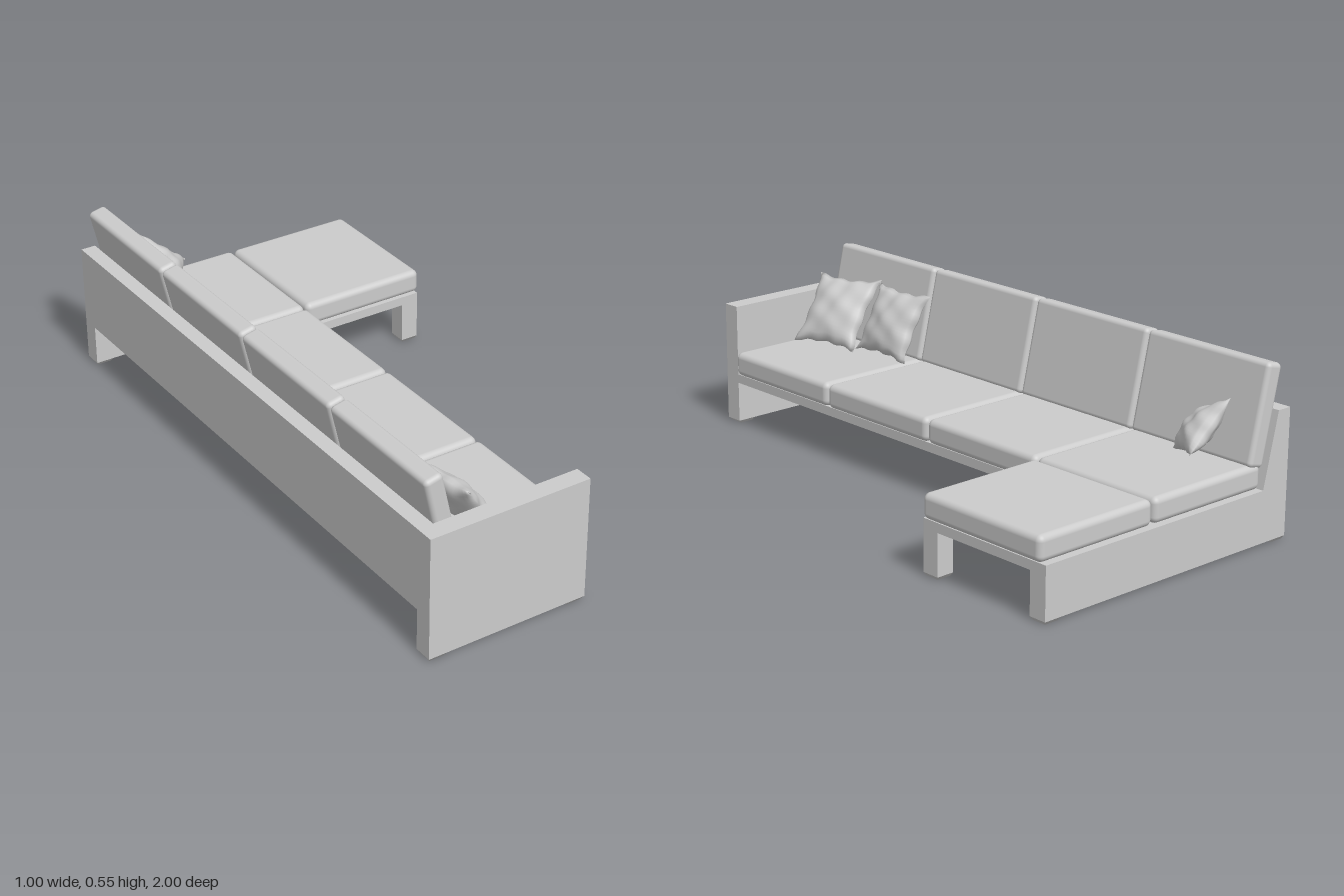
import * as THREE from 'three';
import { RoundedBoxGeometry } from 'three/addons/geometries/RoundedBoxGeometry.js';
import { mergeVertices } from 'three/addons/utils/BufferGeometryUtils.js';

const grey = new THREE.MeshStandardMaterial({ color: 0xcccccc });

export function createModel() {
  const group = new THREE.Group();

  const add = (name, geometry) => {
    const mesh = new THREE.Mesh(geometry, grey);
    mesh.name = name;
    group.add(mesh);
    return mesh;
  };

  // Box given by its limits on each axis
  const box = (name, x0, x1, y0, y1, z0, z1) =>
    add(name, new THREE.BoxGeometry(x1 - x0, y1 - y0, z1 - z0))
      .position.set((x0 + x1) / 2, (y0 + y1) / 2, (z0 + z1) / 2);

  // Side profile in x, y extruded from z0 to z1
  const slab = (name, points, z0, z1) => {
    const shape = new THREE.Shape(points.map(([x, y]) => new THREE.Vector2(x, y)));
    add(name, new THREE.ExtrudeGeometry(shape, { depth: z1 - z0, bevelEnabled: false }))
      .position.z = z0;
  };

  // Frame: arm, stepped end panel, sloped back and L-shaped platform
  box('armPanel', -0.5, 0.04, 0.01, 0.41, 0.94, 1);
  slab('endPanel', [[-0.5, 0.01], [0.49, 0.01], [0.49, 0.175], [-0.395, 0.175],
    [-0.45, 0.41], [-0.5, 0.41]], -1, -0.94);
  slab('backPanel', [[-0.5, 0.145], [-0.395, 0.145], [-0.395, 0.175],
    [-0.45, 0.41], [-0.5, 0.41]], -0.94, 0.94);
  box('seatPlatform', -0.395, 0.04, 0.145, 0.175, -0.94, 0.94);
  box('chaisePlatform', 0.04, 0.49, 0.145, 0.175, -0.94, -0.505);
  box('chaiseLeg', 0.43, 0.49, 0.01, 0.145, -0.565, -0.505);

  // Low tapered feet
  const feet = [[-0.47, 0.97], [0.005, 0.97], [-0.47, -0.97], [0.46, -0.97], [0.46, -0.535]];
  for (const [x, z] of feet) {
    const foot = new THREE.CylinderGeometry(0.03 * Math.SQRT2, 0.024 * Math.SQRT2, 0.01, 4);
    foot.rotateY(Math.PI / 4);
    add('foot', foot.toNonIndexed()).position.set(x, 0.005, z);
  }

  // Seat and back cushions, four along the sofa
  for (let i = 0; i < 4; i++) {
    const z = 0.698 - i * 0.482;
    add('seatCushion', new RoundedBoxGeometry(0.45, 0.08, 0.478, 4, 0.02))
      .position.set(-0.173, 0.215, z);
    const back = add('backCushion', new RoundedBoxGeometry(0.062, 0.315, 0.478, 4, 0.015));
    back.position.set(-0.411, 0.397, z);
    back.rotation.z = 0.225;
  }
  add('chaiseCushion', new RoundedBoxGeometry(0.442, 0.08, 0.478, 4, 0.02))
    .position.set(0.279, 0.215, -0.748);

  // Throw pillows, corners in order: top left, top right, bottom right, bottom left
  const pillows = [
    [[-0.33, 0.465, 0.945], [-0.385, 0.475, 0.69], [-0.235, 0.26, 0.665], [-0.18, 0.26, 0.91]],
    [[-0.38, 0.47, 0.69], [-0.375, 0.475, 0.435], [-0.262, 0.26, 0.44], [-0.265, 0.262, 0.685]],
    [[-0.38, 0.37, -0.77], [-0.33, 0.455, -0.92], [-0.16, 0.315, -0.92], [-0.29, 0.262, -0.735]],
  ];
  pillows.forEach((corners, i) => add('throwPillow', pillowGeometry(corners, 0.042, i * 2.1)));

  return group;
}

// Pinched, creased pillow stretched between four corners
function pillowGeometry(corners, puff, seed) {
  const [tl, tr, br, bl] = corners.map((c) => new THREE.Vector3(...c));
  const normal = tr.clone().sub(bl).cross(tl.clone().sub(br)).normalize();
  const n = 20;
  const positions = [];
  const index = [];

  for (const side of [1, -1]) {
    const start = positions.length / 3;
    for (let j = 0; j <= n; j++) {
      for (let i = 0; i <= n; i++) {
        const a = i / n, b = j / n;
        const bowA = 4 * a * (1 - a), bowB = 4 * b * (1 - b);
        // Edges draw in between the corners, with a wavy seam
        const u = 0.5 + (a - 0.5) * (1 - 0.12 * bowB + 0.025 * Math.sin(b * 19 + seed));
        const v = 0.5 + (b - 0.5) * (1 - 0.12 * bowA + 0.025 * Math.sin(a * 21 + seed));
        const top = tl.clone().lerp(tr, u);
        const p = bl.clone().lerp(br, u).lerp(top, v);
        const crease = 1 + 0.12 * Math.sin(a * 13 + b * 5 + seed) * Math.sin(b * 11 - a * 4 + side);
        p.addScaledVector(normal, side * puff * Math.pow(bowA * bowB, 0.55) * crease);
        positions.push(p.x, p.y, p.z);
      }
    }
    for (let j = 0; j < n; j++) {
      for (let i = 0; i < n; i++) {
        const p = start + j * (n + 1) + i, q = p + n + 1;
        if (side > 0) index.push(p, p + 1, q + 1, p, q + 1, q);
        else index.push(p, q + 1, p + 1, p, q, q + 1);
      }
    }
  }
  const geometry = new THREE.BufferGeometry();
  geometry.setAttribute('position', new THREE.Float32BufferAttribute(positions, 3));
  geometry.setIndex(index);
  const welded = mergeVertices(geometry, 1e-5);
  welded.computeVertexNormals();
  return welded;
}
